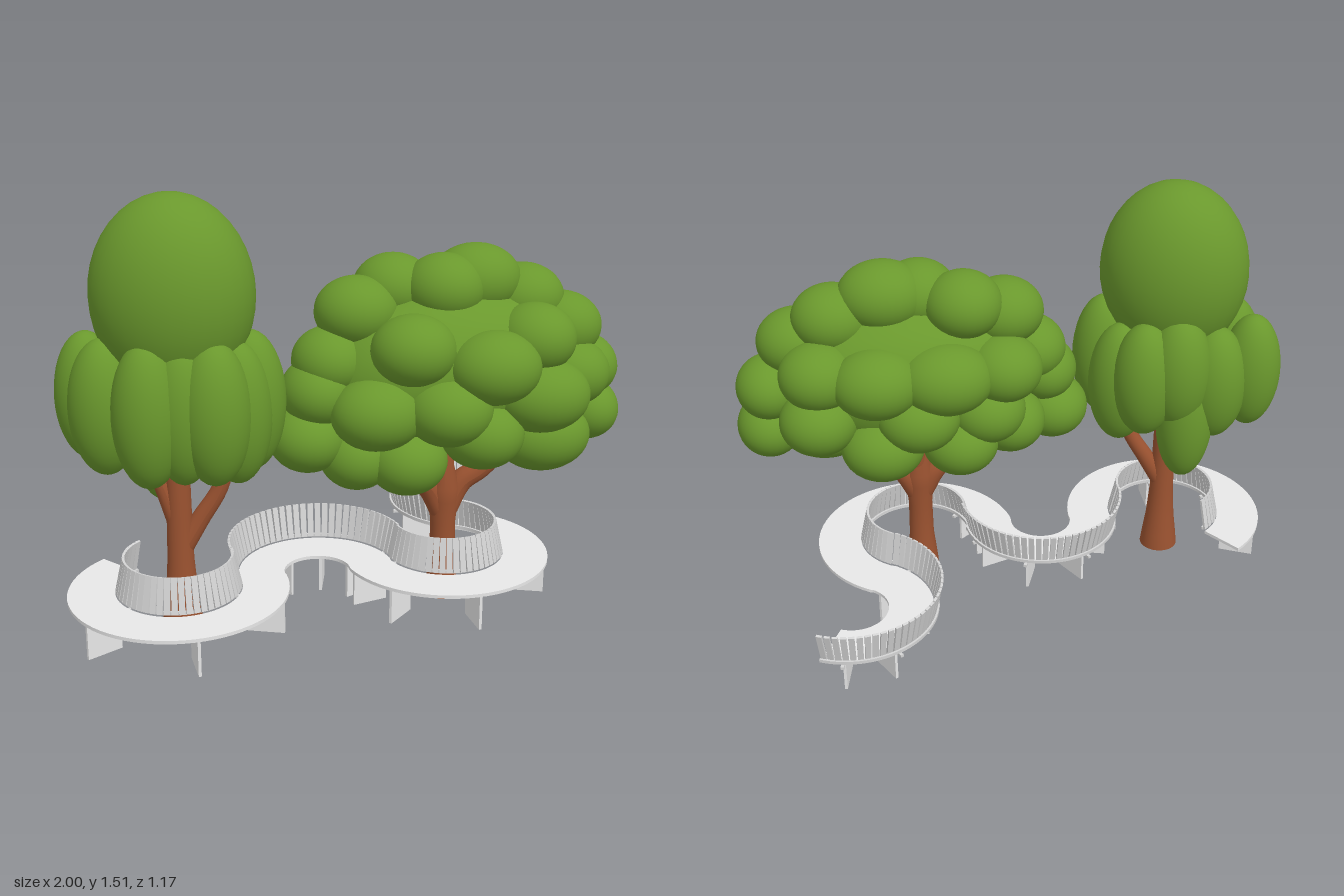
import * as THREE from 'three';
import { mergeGeometries, toCreasedNormals } from 'three/addons/utils/BufferGeometryUtils.js';

const mat = (name, color) => Object.assign(new THREE.MeshStandardMaterial({ color }), { name });
const rad = THREE.MathUtils.degToRad;

// Winding bench line: arcs that pass outside the trees (side 1) alternate with hollow arcs (side -1).
// Angles run from +x towards +z; the seat lies on the given side of each arc.
const ARCS = [
  { x: -0.62, z: 0.203, r: 0.215, from: 234, to: 0, side: 1, legs: [205, 155, 90, 25] },
  { x: -0.125, z: 0.2, r: 0.282, from: 180, to: 355, side: -1, legs: [195, 240, 290, 340] },
  { x: 0.365, z: 0.16, r: 0.215, from: 175, to: -59, side: 1, legs: [170, 140, 90, 25] },
  { x: 0.621, z: -0.268, r: 0.287, from: 121, to: 295, side: -1, legs: [134, 180, 240, 280] },
];

// Point on the bench line, its seatward normal and its running direction
function pointOn(arc, deg) {
  const c = Math.cos(rad(deg)), s = Math.sin(rad(deg));
  const n = new THREE.Vector3(c * arc.side, 0, s * arc.side);
  return {
    p: new THREE.Vector3(arc.x + c * arc.r, 0, arc.z + s * arc.r),
    n,
    t: new THREE.Vector3(n.z, 0, -n.x),
  };
}

const LINE = ARCS.flatMap((arc, k) => {
  const steps = 48, list = [];
  for (let i = k ? 1 : 0; i <= steps; i++) {
    list.push(pointOn(arc, arc.from + (arc.to - arc.from) * i / steps));
  }
  return list;
});

// Sweep a four-cornered profile [offset, height] along the bench line
function sweep(profile) {
  const pos = [];
  const rings = LINE.map(({ p, n }) =>
    profile.map(([o, y]) => [p.x + n.x * o, y, p.z + n.z * o]));
  const quad = (a, b, c, d) => pos.push(...a, ...b, ...c, ...a, ...c, ...d);
  for (let i = 0; i < rings.length - 1; i++) {
    for (let j = 0; j < 4; j++) {
      const k = (j + 1) % 4;
      quad(rings[i][j], rings[i + 1][j], rings[i + 1][k], rings[i][k]);
    }
  }
  quad(...rings[0]);
  quad(...rings[rings.length - 1].slice().reverse());
  const g = new THREE.BufferGeometry();
  g.setAttribute('position', new THREE.Float32BufferAttribute(pos, 3));
  return toCreasedNormals(g, rad(35));
}

const rect = (o0, o1, y0, y1) => [[o0, y0], [o1, y0], [o1, y1], [o0, y1]];

// Box turned to the bench line: width along it, depth across it, leaning back by lean
function boxOn({ p, n, t }, w, h, d, offset, y, lean = 0) {
  const up = new THREE.Vector3(0, Math.cos(lean), 0).addScaledVector(n, -Math.sin(lean));
  const across = new THREE.Vector3().crossVectors(t, up);
  const m = new THREE.Matrix4().makeBasis(t, up, across);
  m.setPosition(p.clone().addScaledVector(n, offset).setY(y));
  return new THREE.BoxGeometry(w, h, d).applyMatrix4(m);
}

// Tapering limb through points, with a radius for each point
function limb(points, radii) {
  const curve = new THREE.CatmullRomCurve3(points.map(p => new THREE.Vector3(...p)));
  const rows = 16, sides = 20;
  const g = new THREE.TubeGeometry(curve, rows, 1, sides, false);
  const pos = g.attributes.position, v = new THREE.Vector3();
  for (let i = 0; i <= rows; i++) {
    const u = i / rows, f = u * (radii.length - 1);
    const k = Math.min(Math.floor(f), radii.length - 2);
    const r = THREE.MathUtils.lerp(radii[k], radii[k + 1], f - k);
    const c = curve.getPointAt(u);
    for (let j = 0; j <= sides; j++) {
      const id = i * (sides + 1) + j;
      v.fromBufferAttribute(pos, id).sub(c).multiplyScalar(r).add(c);
      pos.setXYZ(id, v.x, v.y, v.z);
    }
  }
  g.computeVertexNormals();
  return g;
}

// Trunk turned from a flared profile
function trunk(x, z, profile) {
  const pts = [[0, 0], ...profile].map(p => new THREE.Vector2(...p));
  return toCreasedNormals(new THREE.LatheGeometry(pts, 24), rad(40)).translate(x, 0, z);
}

const blob = (x, y, z, rx, ry, rz, turn = 0) =>
  new THREE.SphereGeometry(1, 32, 20).scale(rx, ry, rz).rotateY(turn).translate(x, y, z);

export function createModel() {
  const model = new THREE.Group();
  const seatGrey = mat('seat grey', 0xe8e8e8);
  const metal = mat('metal grey', 0xd4d4d4);
  const bark = mat('bark brown', 0x9a5230);
  const leaf = mat('leaf green', 0x6a982d);
  const add = (parent, name, geometry, material) => {
    const mesh = new THREE.Mesh(geometry, material);
    mesh.name = name;
    parent.add(mesh);
  };
  const group = name => {
    const g = new THREE.Group();
    g.name = name;
    model.add(g);
    return g;
  };

  // Bench: seat, rail, slatted back and fin legs
  const bench = group('bench');
  add(bench, 'seat', sweep(rect(0.003, 0.165, 0.138, 0.15)), seatGrey);
  add(bench, 'backRail', sweep(rect(-0.016, -0.008, 0.15, 0.162)), metal);
  const slats = [], legs = [], brackets = [];
  for (const arc of ARCS) {
    const span = arc.to - arc.from;
    const count = Math.round(Math.abs(rad(span)) * arc.r / 0.025);
    for (let i = 0; i < count; i++) {
      const at = pointOn(arc, arc.from + span * (i + 0.5) / count);
      slats.push(boxOn(at, 0.0205, 0.124, 0.009, -0.016, 0.215, 0.22));
    }
    for (const deg of arc.legs) {
      const at = pointOn(arc, deg);
      legs.push(boxOn(at, 0.01, 0.13, 0.13, 0.089, 0.073));
      brackets.push(boxOn(at, 0.012, 0.01, 0.05, 0.008, 0.134));
    }
  }
  add(bench, 'backSlats', mergeGeometries(slats), metal);
  add(bench, 'legs', mergeGeometries(legs), seatGrey);
  add(bench, 'backBrackets', mergeGeometries(brackets), metal);

  // Tall tree: trunk, branches, egg-shaped crown over a ring of long lobes
  const tall = group('tallTree');
  add(tall, 'trunk', trunk(-0.61, 0.2,
    [[0.073, 0], [0.066, 0.06], [0.055, 0.14], [0.046, 0.26], [0.043, 0.42], [0.038, 0.85]]), bark);
  add(tall, 'branches', mergeGeometries([
    limb([[-0.6, 0.3, 0.2], [-0.54, 0.4, 0.21], [-0.47, 0.52, 0.23], [-0.43, 0.7, 0.25]], [0.036, 0.031, 0.026, 0.022]),
    limb([[-0.62, 0.4, 0.2], [-0.66, 0.52, 0.19], [-0.72, 0.68, 0.18]], [0.033, 0.027, 0.02]),
  ]), bark);
  add(tall, 'crown', blob(-0.608, 1.185, 0.215, 0.27, 0.33, 0.231, rad(-23)), leaf);
  add(tall, 'crownCore', blob(-0.61, 0.88, 0.2, 0.2, 0.22, 0.18), leaf);
  add(tall, 'lowerLobes', mergeGeometries([
    [-0.88, 0.83, 0.07, 0.11, 0.22], [-0.84, 0.83, 0.22, 0.12, 0.23],
    [-0.72, 0.83, 0.35, 0.118, 0.245], [-0.61, 0.83, 0.36, 0.11, 0.24], [-0.515, 0.83, 0.395, 0.12, 0.24],
    [-0.43, 0.81, 0.34, 0.115, 0.24],
    [-0.375, 0.83, 0.28, 0.12, 0.24], [-0.41, 0.78, 0.14, 0.12, 0.235],
    [-0.48, 0.83, 0.05, 0.12, 0.22], [-0.74, 0.8, 0.05, 0.12, 0.22],
    [-0.635, 0.66, 0.04, 0.105, 0.24], [-0.6, 0.86, 0.035, 0.12, 0.22],
  ].map(([x, y, z, r, h]) => blob(x, y, z, r, h, r))), leaf);

  // Broad tree: forked trunk under a wide crown of rounded lobes
  const broad = group('broadTree');
  add(broad, 'trunk', trunk(0.345, 0.2,
    [[0.062, 0], [0.056, 0.06], [0.047, 0.14], [0.045, 0.28], [0.053, 0.37], [0.056, 0.42], [0.035, 0.5], [0.03, 0.75]]), bark);
  add(broad, 'branches', mergeGeometries([
    limb([[0.34, 0.32, 0.2], [0.28, 0.43, 0.2], [0.2, 0.48, 0.22], [0.12, 0.6, 0.24]], [0.042, 0.042, 0.034, 0.026]),
    limb([[0.35, 0.32, 0.2], [0.41, 0.43, 0.2], [0.48, 0.48, 0.22], [0.57, 0.58, 0.25]], [0.042, 0.042, 0.034, 0.026]),
    limb([[0.345, 0.34, 0.2], [0.35, 0.46, 0.19], [0.37, 0.62, 0.16]], [0.04, 0.034, 0.026]),
  ]), bark);
  add(broad, 'crownCore', blob(0.36, 0.86, 0.2, 0.46, 0.29, 0.28), leaf);
  add(broad, 'crownLobes', mergeGeometries([
    // top
    [0.17, 1.14, 0.12, 0.14], [0.32, 1.15, 0.22, 0.14], [0.45, 1.165, 0.18, 0.16],
    [0.63, 1.09, 0.18, 0.145], [0.02, 1.08, 0.18, 0.145],
    // upper back and front
    [0.25, 0.92, -0.018, 0.17], [0.49, 0.92, -0.018, 0.16], [0.69, 0.93, 0.05, 0.14], [0.04, 0.92, 0.04, 0.14],
    [0.16, 0.98, 0.37, 0.145], [0.42, 0.92, 0.44, 0.16], [0.6, 0.99, 0.36, 0.14], [-0.08, 0.92, 0.2, 0.13],
    // middle
    [0.87, 0.83, 0.19, 0.12], [0.76, 0.99, 0.22, 0.145], [-0.13, 0.82, 0.22, 0.125], [0.04, 0.77, 0.36, 0.16],
    [0.27, 0.78, 0.42, 0.15], [0.61, 0.8, 0.41, 0.17], [0.76, 0.84, 0.3, 0.145], [0.7, 0.76, 0.03, 0.14],
    [0.35, 0.77, -0.01, 0.15], [0.1, 0.76, 0.04, 0.14],
    // bottom
    [-0.165, 0.66, 0.22, 0.135], [0, 0.59, 0.25, 0.13], [0.16, 0.58, 0.32, 0.14], [0.4, 0.68, 0.4, 0.145],
    [0.68, 0.61, 0.28, 0.175], [0.88, 0.67, 0.2, 0.12], [0.2, 0.64, 0.03, 0.14], [0.48, 0.65, 0.01, 0.15],
    [0.01, 0.68, 0.1, 0.13],
  ].map(([x, y, z, r]) => blob(x, y, z, r, 0.085 + r * 0.25, 0.143))), leaf);

  return model;
}
